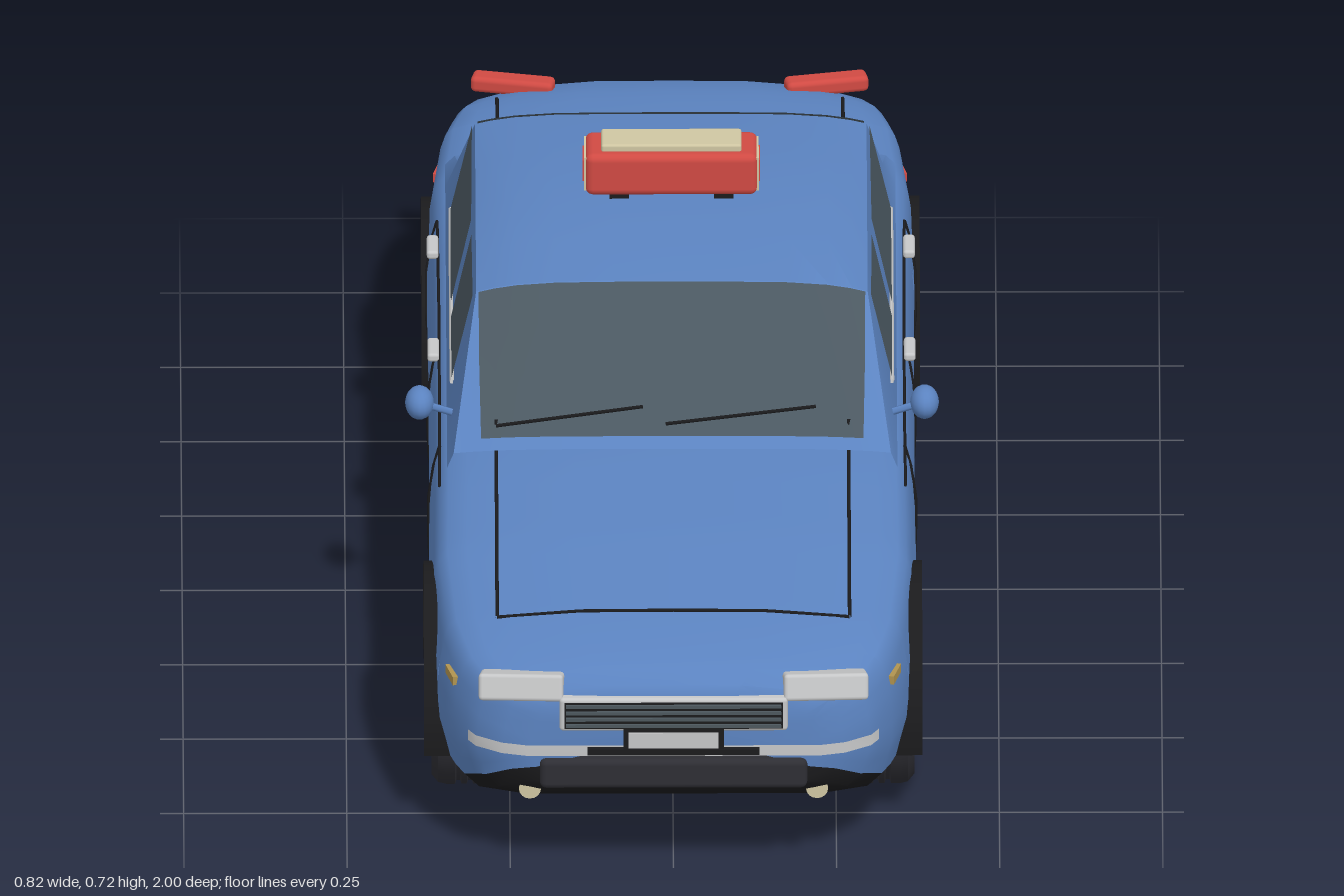
import * as THREE from 'three';
import { toCreasedNormals } from 'three/addons/utils/BufferGeometryUtils.js';
import { RoundedBoxGeometry } from 'three/addons/geometries/RoundedBoxGeometry.js';

const mat = (name, color) => {
  const m = new THREE.MeshStandardMaterial({ color });
  m.name = name;
  return m;
};
const V = (x, y, z) => new THREE.Vector3(x, y, z);

// linear lookup in [key, value] pairs, keys descending
function look(table, k) {
  if (k >= table[0][0]) return table[0][1];
  for (let i = 1; i < table.length; i++) {
    const [a, p] = table[i - 1], [b, q] = table[i];
    if (k >= b) return q + (p - q) * (k - b) / (a - b);
  }
  return table[table.length - 1][1];
}

// surface through equal-length rows of points
function grid(rows) {
  const n = rows[0].length, index = [];
  for (let i = 0; i < rows.length - 1; i++) for (let j = 0; j < n - 1; j++) {
    const a = i * n + j, c = a + n;
    index.push(a, a + 1, c, a + 1, c + 1, c);
  }
  const g = new THREE.BufferGeometry().setFromPoints(rows.flat());
  g.setIndex(index);
  return toCreasedNormals(g, 0.6);
}

// body curves along z: half width, top, lower edge
const WIDTH = [[0.985, 0.22], [0.975, 0.26], [0.95, 0.3], [0.89, 0.335], [0.8, 0.36], [0.615, 0.375], [0.3, 0.372],
  [-0.3, 0.372], [-0.61, 0.375], [-0.8, 0.36], [-0.9, 0.335], [-0.96, 0.29], [-0.985, 0.22]];
const TOP = [[0.985, 0.315], [0.975, 0.335], [0.95, 0.35], [0.89, 0.365], [0.8, 0.38], [0.6, 0.405], [0.4, 0.42],
  [0.2, 0.427], [-0.6, 0.425], [-0.8, 0.415], [-0.9, 0.405], [-0.96, 0.385], [-0.985, 0.33]];
const LOW = [[0.985, 0.2], [0.95, 0.17], [0.89, 0.14], [0.82, 0.127], [-0.8, 0.125], [-0.9, 0.15], [-0.96, 0.18], [-0.985, 0.2]];
const BULGE = [[1, 0.975], [0.75, 1], [0.35, 1], [0, 0.955]];
const WHEELS = [0.615, -0.61], ARCH = 0.18, AXLE = 0.15;

const sideX = (z, y) => look(WIDTH, z) * look(BULGE, (y - look(LOW, z)) / (look(TOP, z) - 0.06 - look(LOW, z)));
const topY = (z, x) => look(TOP, z) - 0.025 * (Math.abs(x) / (0.92 * look(WIDTH, z))) ** 4;
const archAt = z => WHEELS.find(c => Math.abs(z - c) < ARCH - 1e-4);

const ZS = [0.985, 0.975, 0.95, 0.92, 0.89, 0.84, 0.37, 0.3, 0.15, 0, -0.15, -0.3, -0.38, -0.84, -0.88, -0.92, -0.96, -0.975, -0.985];
for (const c of WHEELS) {
  for (let i = 0; i <= 16; i++) ZS.push(c + 0.1799 * Math.cos(i * Math.PI / 16));
  ZS.push(c + 0.1801, c - 0.1801);
}
ZS.sort((a, b) => b - a);

// shell section whose lower edge rises over the wheels
function bodyRow(z) {
  const c = archAt(z), w = look(WIDTH, z), sh = look(TOP, z) - 0.06;
  const low = c === undefined ? look(LOW, z) : Math.max(look(LOW, z), AXLE + Math.sqrt(ARCH ** 2 - (z - c) ** 2));
  const half = [];
  for (let i = 0; i <= 6; i++) {
    const y = low + (sh - low) * i / 6;
    half.push(V(sideX(z, y), y, z));
  }
  for (const u of [0.955, 0.92, 0.84, 0.7, 0.4]) half.push(V(u * w, u > 0.95 ? sh + 0.022 : topY(z, u * w), z));
  return [...half.map(p => V(-p.x, p.y, p.z)), V(0, look(TOP, z), z), ...half.reverse()];
}
function panRow(z) {
  const w = archAt(z) === undefined ? sideX(z, look(LOW, z)) : 0.25, y = look(LOW, z);
  return [[1, 0], [0.93, -0.022], [0.72, -0.034], [-0.72, -0.034], [-0.93, -0.022], [-1, 0]].map(([u, d]) => V(u * w, y + d, z));
}
function capped(rows) {
  const flat = r => { const y = (r[0].y + r[r.length >> 1].y) / 2; return r.map(p => V(0, y, p.z)); };
  return grid([flat(rows[0]), ...rows, flat(rows[rows.length - 1])]);
}

// cabin curves along z: half width at the roof edge, edge height, centre height
const CX = [[0.37, 0.335], [0.165, 0.3], [-0.405, 0.3], [-0.575, 0.325], [-0.65, 0.33]];
const CE = [[0.37, 0.425], [0.165, 0.598], [-0.1, 0.605], [-0.405, 0.595], [-0.575, 0.44], [-0.65, 0.415]];
const CC = [[0.37, 0.432], [0.165, 0.617], [0.05, 0.63], [-0.1, 0.636], [-0.25, 0.63], [-0.405, 0.612], [-0.575, 0.45], [-0.65, 0.425]];
const US = [-1, -0.92, -0.8, -0.6, -0.3, 0, 0.3, 0.6, 0.8, 0.92, 1];
const roofPoint = (z, u, lift = 0) => V(u * look(CX, z),
  look(CE, z) + (look(CC, z) - look(CE, z)) * (1 - Math.abs(u) ** 5) + lift, z);
const glassX = (z, y) => 0.345 + (look(CX, z) - 0.345) * (y - 0.4) / (look(CE, z) - 0.4);
const cabinRow = z => [V(-0.345, 0.4, z), ...US.map(u => roofPoint(z, u)), V(0.345, 0.4, z)];

export function createModel() {
  const car = new THREE.Group();
  car.name = 'car';
  const paint = mat('bluePaint', 0x5b83c0), glass = mat('tintedGlass', 0x4b5861), black = mat('blackTrim', 0x1b1b1d),
    rubber = mat('tyreRubber', 0x2e2e34), rim = mat('rimGrey', 0x4d585e), chrome = mat('chrome', 0xc6c7c8),
    red = mat('red', 0xd04a43), cream = mat('cream', 0xcfc6a2), amber = mat('amber', 0xb0934f);
  for (const m of [paint, glass, black, chrome]) m.side = THREE.DoubleSide;

  const add = (name, geo, m, x = 0, y = 0, z = 0, parent = car) => {
    const mesh = new THREE.Mesh(geo, m);
    mesh.name = name;
    mesh.position.set(x, y, z);
    parent.add(mesh);
    return mesh;
  };
  const box = (name, m, w, h, d, x, y, z, r = 0) =>
    add(name, r ? new RoundedBoxGeometry(w, h, d, 2, r) : new THREE.BoxGeometry(w, h, d), m, x, y, z);
  const line = (name, m, pts, r = 0.003) => {
    const path = new THREE.CurvePath();
    for (let i = 1; i < pts.length; i++) path.add(new THREE.LineCurve3(pts[i - 1], pts[i]));
    return add(name, new THREE.TubeGeometry(path, (pts.length - 1) * 8, r, 5), m);
  };

  // shell, floor and cabin
  add('body', capped(ZS.map(bodyRow)), paint);
  add('underbody', capped(ZS.map(panRow)), black);
  add('cabin', grid([0.37, 0.165, 0.05, -0.1, -0.25, -0.405, -0.575, -0.65].map(cabinRow)), paint);

  // front and rear glass, lifted just off the cabin
  const screen = (name, z0, k0, z1, k1) => add(name, grid([0, 0.5, 1].map(t =>
    US.map(u => roofPoint(z0 + (z1 - z0) * t, u * (k0 + (k1 - k0) * t), 0.005)))), glass);
  screen('windscreen', 0.358, 0.88, 0.17, 0.985);
  screen('rearWindow', -0.41, 0.985, -0.57, 0.9);
  box('rearVent', black, 0.6, 0.008, 0.045, 0, 0.424, -0.645);

  for (const s of [1, -1]) {
    const side = (z, y, lift = 0.001) => V(s * (sideX(z, y) + lift), y, z);
    // side windows
    for (const [a, b] of [[0.165, -0.04], [-0.09, -0.403]])
      add('sideWindow', grid([0.45, 0.592].map(y => [a, b].map(z => V(s * (glassX(z, y) + 0.004), y, z)))), glass);
    line('windowTrim', chrome, [V(s * 0.337, 0.446, 0.17), V(s * 0.337, 0.446, -0.41)], 0.004);
    // door seams
    const ys = [0.16, 0.2, 0.25, 0.3, 0.355];
    const shoulder = z => V(s * (0.955 * look(WIDTH, z) + 0.001), look(TOP, z) - 0.036, z);
    for (const z of [0.275, -0.06]) line('doorSeam', black, [...ys.map(y => side(z, y)), shoulder(z)]);
    line('rearDoorSeam', black, [side(-0.41, 0.16), side(-0.43, 0.25), side(-0.47, 0.31), side(-0.48, 0.355), shoulder(-0.48)]);
    line('sillSeam', black, [0.275, 0, -0.2, -0.41].map(z => side(z, 0.16)));
    line('beltSeam', black, [0.4, 0.2, 0, -0.2, -0.48].map(shoulder), 0.0025);
    for (const z of [-0.035, -0.38]) box('doorHandle', chrome, 0.018, 0.014, 0.06, s * 0.365, 0.396, z, 0.005);
    // lid seams and wipers
    line('bonnetSeam', black, [...[0.81, 0.7, 0.6, 0.5, 0.4, 0.37].map(z => V(s * 0.27, topY(z, 0.27) + 0.001, z)), V(s * 0.27, 0.465, 0.335)]);
    line('bootSeam', black, [-0.72, -0.8, -0.88].map(z => V(s * 0.265, topY(z, 0.265) + 0.001, z)));
    // mirror
    add('mirror', new THREE.SphereGeometry(0.024, 16, 12), paint, s * 0.387, 0.441, 0.23).scale.set(0.92, 1.05, 1.3);
    line('mirrorStalk', paint, [V(s * 0.375, 0.437, 0.23), V(s * 0.32, 0.424, 0.24)], 0.006);
    // lamps
    const head = box('headlight', chrome, 0.13, 0.042, 0.05, s * 0.232, 0.325, 0.955, 0.006);
    head.rotation.set(-0.3, s * 0.1, 0);
    const tail = box('tailLight', red, 0.128, 0.026, 0.034, s * 0.24, 0.396, -0.928, 0.008);
    tail.rotation.set(0, s * 0.2, 0);
    box('frontMarker', amber, 0.01, 0.014, 0.045, s * (sideX(0.86, 0.295) + 0.001), 0.295, 0.86).rotation.y = -s * 0.25;
    box('rearMarker', red, 0.01, 0.014, 0.045, s * (sideX(-0.83, 0.295) + 0.001), 0.295, -0.83).rotation.y = s * 0.22;
    box('rearReflector', red, 0.05, 0.012, 0.01, s * 0.2, 0.195, -0.982);
    const fog = add('fogLamp', new THREE.CylinderGeometry(0.017, 0.017, 0.04, 16), cream, s * 0.22, 0.152, 0.945);
    fog.rotation.x = Math.PI / 2;
    // rear bumper strip
    const back = [[0.1, -0.989], ...[-0.985, -0.975, -0.96, -0.93, -0.9, -0.86].map(z => [look(WIDTH, z) + 0.004, z - 0.003])];
    add('rearBumperStrip', grid([0.218, 0.236].map(y => back.map(([x, z]) => V(s * x, y, z)))), chrome);
  }
  line('bonnetFrontSeam', black, [-0.27, -0.14, 0, 0.14, 0.27].map(x => V(x, topY(0.81, x) + 0.001, 0.81)));
  for (const [a, ya, b, yb] of [[-0.27, 0.46, -0.045, 0.483], [-0.01, 0.463, 0.22, 0.483]])
    line('wiper', black, [V(a, ya, 0.346), V(b, yb, 0.327)], 0.0028);

  // nose: grille, plate and bumper
  box('grilleFrame', chrome, 0.35, 0.056, 0.03, 0, 0.292, 0.978, 0.006);
  box('grilleInset', black, 0.335, 0.044, 0.006, 0, 0.292, 0.992);
  for (let i = 0; i < 4; i++) box('grilleSlat', rim, 0.33, 0.005, 0.006, 0, 0.276 + i * 0.011, 0.996);
  box('frontPlateFrame', black, 0.154, 0.04, 0.01, 0, 0.25, 0.99);
  box('frontPlate', chrome, 0.138, 0.026, 0.006, 0, 0.251, 0.995);
  box('frontPlateShelf', black, 0.264, 0.01, 0.012, 0, 0.23, 0.99);
  const nose = [0.9, 0.93, 0.95, 0.975, 0.985].map(z => [look(WIDTH, z) + 0.003, z + 0.003]).filter(p => p[0] < 0.32);
  const front = [...nose.map(([x, z]) => [-x, z]), ...nose.reverse()];
  add('frontBumperStrip', grid([0.22, 0.238].map(y => front.map(([x, z]) => V(x, y, z)))), chrome);
  box('frontBumper', rubber, 0.41, 0.05, 0.06, 0, 0.19, 0.965, 0.01);

  // tail: plate and exhaust
  box('rearPlateFrame', black, 0.17, 0.09, 0.012, 0, 0.265, -0.987);
  box('rearPlate', chrome, 0.14, 0.062, 0.006, 0, 0.265, -0.993);
  const pipe = new THREE.CylinderGeometry(0.014, 0.014, 0.11, 16, 1, true).rotateX(Math.PI / 2);
  add('exhaust', pipe, chrome, 0.22, 0.13, -0.935);

  // roof sign
  box('signBody', red, 0.264, 0.07, 0.09, 0, 0.678, -0.11, 0.012);
  box('signTop', cream, 0.215, 0.014, 0.058, 0, 0.717, -0.11, 0.004);
  for (const s of [1, -1]) {
    box('signEnd', cream, 0.008, 0.056, 0.074, s * 0.13, 0.678, -0.11);
    box('signEndCentre', red, 0.004, 0.036, 0.05, s * 0.134, 0.678, -0.11);
    box('signFoot', black, 0.03, 0.02, 0.07, s * 0.08, 0.638, -0.11);
  }

  // wheels, arches and wells
  const arc = (r, hole) => {
    const sh = new THREE.Shape().absarc(0, 0, r, -0.12, Math.PI + 0.12, false);
    if (hole) sh.absarc(0, 0, hole, Math.PI + 0.12, -0.12, true);
    return sh;
  };
  const extrude = (sh, depth) => new THREE.ExtrudeGeometry(sh, { depth, bevelEnabled: false, curveSegments: 24 }).rotateY(Math.PI / 2);
  const profile = [[0.09, -0.05], [0.135, -0.05], [0.147, -0.04], [0.15, -0.028], [0.15, -0.014], [0.144, -0.012], [0.144, -0.006],
    [0.15, -0.004], [0.15, 0.004], [0.144, 0.006], [0.144, 0.012], [0.15, 0.014], [0.15, 0.028], [0.147, 0.04], [0.135, 0.05],
    [0.103, 0.048], [0.097, 0.035]].map(p => new THREE.Vector2(...p));
  const tyre = toCreasedNormals(new THREE.LatheGeometry(profile, 40).rotateZ(-Math.PI / 2), 0.6);
  const disc = (r0, r1, h) => new THREE.CylinderGeometry(r0, r1, h, 32).rotateZ(-Math.PI / 2);
  for (const z of WHEELS) for (const s of [1, -1]) {
    const arch = new THREE.Group();
    arch.name = 'wheelArch';
    arch.position.set(0, AXLE, z);
    if (s < 0) arch.rotation.y = Math.PI;
    car.add(arch);
    add('archLip', extrude(arc(0.192, 0.166), 0.125), black, 0.257, 0, 0, arch);
    add('wheelWell', extrude(arc(0.185), 0.02), black, 0.24, 0, 0, arch);
    const wheel = new THREE.Group();
    wheel.name = 'wheel';
    wheel.position.x = 0.32;
    arch.add(wheel);
    add('tyre', tyre, rubber, 0, 0, 0, wheel);
    add('rim', disc(0.094, 0.1, 0.08), rim, 0, 0, 0, wheel);
    add('rimRing', disc(0.074, 0.078, 0.006), rubber, 0.041, 0, 0, wheel);
    add('hubcap', disc(0.042, 0.052, 0.016), chrome, 0.044, 0, 0, wheel);
    for (let i = 0; i < 10; i++) {
      const a = i * Math.PI / 5;
      add('rimSlot', disc(0.008, 0.008, 0.006), rim, 0.043, 0.064 * Math.sin(a), 0.064 * Math.cos(a), wheel);
    }
  }
  return car;
}
